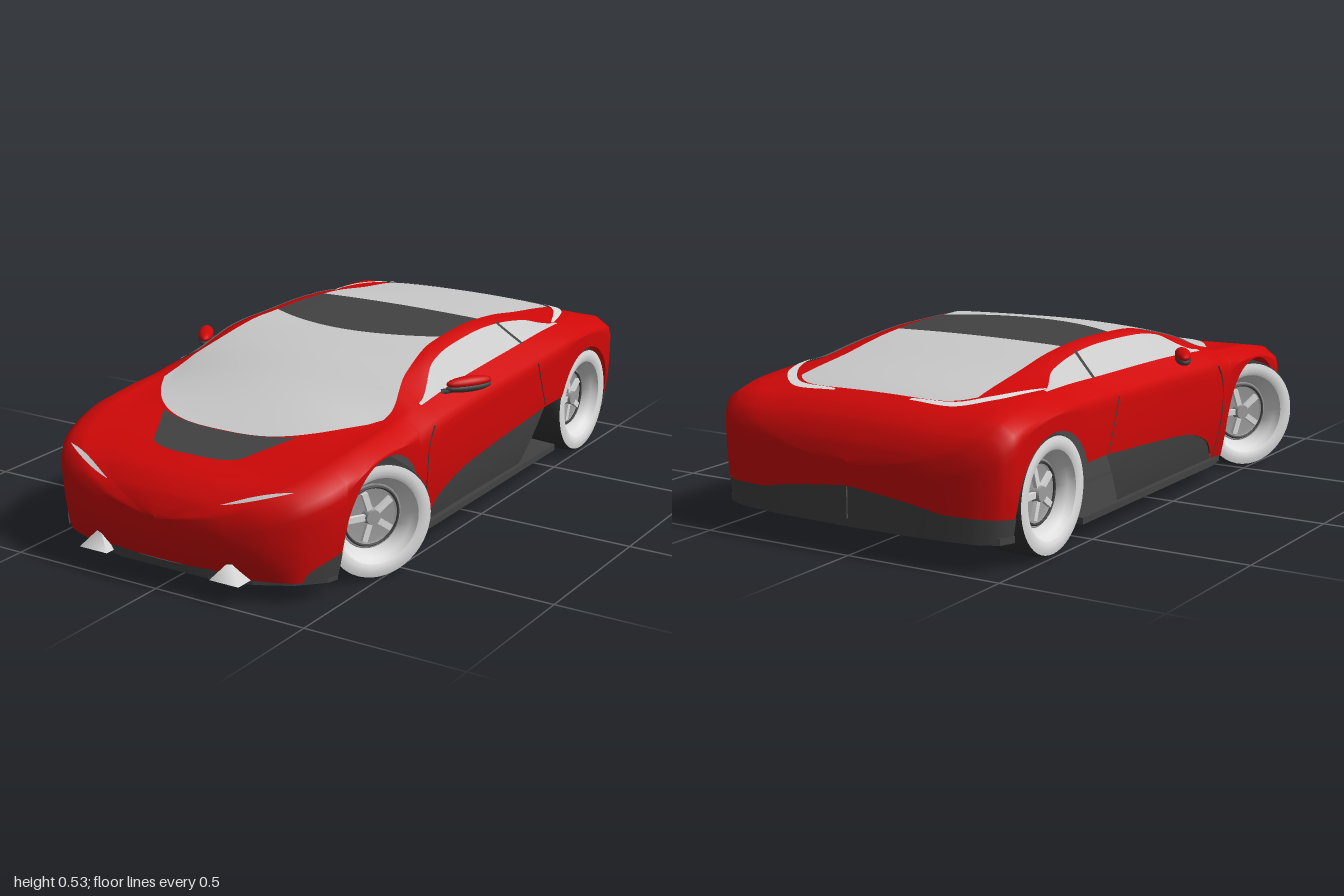
import * as THREE from 'three';

const mat = (name, color) => Object.assign(new THREE.MeshStandardMaterial({ color, side: THREE.DoubleSide }), { name });
const { lerp, smoothstep } = THREE.MathUtils;

// Smooth monotone curve through [z, value] points
function curve(p) {
  const d = p.slice(1).map((q, i) => (q[1] - p[i][1]) / (q[0] - p[i][0]));
  const m = p.map((_, i) => {
    const a = d[Math.max(0, i - 1)], b = d[Math.min(d.length - 1, i)];
    return a * b <= 0 ? 0 : 2 * a * b / (a + b);
  });
  return z => {
    z = Math.min(Math.max(z, p[0][0]), p[p.length - 1][0]);
    let i = 0;
    while (i < p.length - 2 && z > p[i + 1][0]) i++;
    const h = p[i + 1][0] - p[i][0], t = (z - p[i][0]) / h, t2 = t * t, t3 = t2 * t;
    return p[i][1] * (2 * t3 - 3 * t2 + 1) + m[i] * h * (t3 - 2 * t2 + t) + p[i + 1][1] * (3 * t2 - 2 * t3) + m[i + 1] * h * (t3 - t2);
  };
}

// Shape of the body along its length
const width = curve([[-1, 0], [-.99, .27], [-.97, .42], [-.94, .478], [-.9, .498], [-.6, .505], [0, .5], [.5, .5], [.7, .495], [.8, .475], [.88, .43], [.94, .35], [.98, .22], [1, 0]]);
const spine = curve([[-1, .27], [-.985, .33], [-.95, .39], [-.9, .425], [-.8, .455], [-.6, .485], [-.4, .513], [-.2, .526], [0, .523], [.2, .497], [.4, .445], [.55, .405], [.67, .375], [.82, .345], [.9, .325], [.96, .285], [.985, .25], [1, .22]]);
const belt = curve([[-1, .26], [-.985, .31], [-.95, .375], [-.9, .415], [-.8, .435], [-.63, .447], [-.3, .437], [0, .43], [.27, .42], [.4, .405], [.6, .392], [.7, .375], [.8, .352], [.88, .325], [.94, .29], [.98, .245], [1, .21]]);
const beltX = curve([[-1, .9], [-.8, .88], [-.6, .84], [0, .86], [.3, .88], [.5, .9], [1, .9]]);
const railX = curve([[-1, .08], [-.97, .28], [-.86, .31], [-.6, .3], [-.33, .295], [-.07, .305], [.2, .345], [.4, .4], [.5, .4], [.7, .36], [.85, .3], [.95, .2], [1, .03]]);
const railDrop = curve([[-1, .01], [-.6, .009], [-.35, .005], [0, .005], [.2, .016], [.4, .036], [.55, .015], [.7, -.005], [.85, .005], [.95, .015], [1, .008]]);
const pillarX = curve([[-1, .5], [-.75, .55], [-.64, .92], [-.5, .5], [-.3, .36], [-.1, .33], [.1, .4], [.28, .85], [.4, .6], [1, .5]]);
const pillarY = curve([[-1, .5], [-.75, .55], [-.64, .94], [-.5, .2], [-.3, .08], [.1, .1], [.28, .88], [.4, .6], [1, .5]]);
const insertTop = curve([[-.42, .235], [-.1, .21], [.1, .19], [.25, .14], [.31, .07]]);
const hem = curve([[-1, .2], [-.985, .155], [-.9, .15], [-.6, .065], [.96, .065], [.985, .075], [1, .085]]);
const FRONT = .57, REAR = -.71, AXLE = .176;

// Lower edge of the paintwork: wheel arches, side intake and insert
function lower(z) {
  const df = z - FRONT, dr = z - REAR;
  if (Math.abs(df) < .187) return AXLE + .183 * Math.sqrt(1 - (df / .187) ** 2);
  if (Math.abs(dr) < .182) return Math.max(AXLE + Math.sqrt(.0332 - dr * dr), dr > 0 ? .235 : 0);
  if (z > -.53 && z < -.42) return .235;
  if (z >= -.42 && z < .31) return insertTop(z);
  return hem(z);
}
const sideX = (z, y) => width(z) * (1 - .06 * (Math.max(0, .3 - y) / .24) ** 2);

// Half section from shoulder to rail: shoulder, belt, pillar, rail
function keys(z) {
  const w = width(z), y3 = belt(z), y2 = Math.max(lower(z) + .004, y3 - .03);
  const x5 = Math.min(railX(z), .75 * w), y5 = spine(z) - railDrop(z), x3 = beltX(z) * w;
  return [[.985 * w, y2], [x3, y3], [lerp(x5, x3, pillarX(z)), lerp(y5, y3, pillarY(z))], [x5, y5]];
}
function topY(x, z) {
  const k = keys(z), a = Math.abs(x);
  if (a <= k[3][0]) return lerp(spine(z), k[3][1], (a / (k[3][0] || 1)) ** 2);
  for (let i = 2; i >= 0; i--) if (a <= k[i][0]) return lerp(k[i + 1][1], k[i][1], (a - k[i + 1][0]) / (k[i][0] - k[i + 1][0]));
  return k[0][1];
}
// Point on the upper flank; t = 0 shoulder, 1 belt, 2 pillar, 3 rail
function flank(z, t, out = .003) {
  const k = keys(z), i = Math.min(2, Math.floor(t)), f = t - i;
  return [lerp(k[i][0], k[i + 1][0], f) + out, lerp(k[i][1], k[i + 1][1], f) + out, z];
}

// Grid surface from a rule (u, v) -> point
function sheet(nu, nv, fn) {
  const pos = [], idx = [];
  for (let i = 0; i <= nu; i++) for (let j = 0; j <= nv; j++) pos.push(...fn(i / nu, j / nv));
  for (let i = 0; i < nu; i++) for (let j = 0; j < nv; j++) {
    const a = i * (nv + 1) + j, b = a + nv + 1;
    idx.push(a, b, b + 1, a, b + 1, a + 1);
  }
  const g = new THREE.BufferGeometry();
  g.setAttribute('position', new THREE.Float32BufferAttribute(pos, 3));
  g.setIndex(idx);
  g.computeVertexNormals();
  return g;
}

export function createModel() {
  const car = new THREE.Group();
  const paint = mat('red paint', 0xd00808), glass = mat('pale glass', 0xcacaca), trim = mat('dark trim', 0x424242);
  const rubber = mat('tyre rubber', 0x333333), white = mat('wheel white', 0xdedede), metal = mat('rim metal', 0x9c9c9c);
  const add = (name, geo, m, parent = car) => {
    const mesh = new THREE.Mesh(geo, m);
    mesh.name = name;
    parent.add(mesh);
    return mesh;
  };
  const pair = (name, geo, m) => {
    add(name + 'Left', geo, m);
    add(name + 'Right', geo, m).scale.x = -1;
  };
  const spline = pts => new THREE.CatmullRomCurve3(pts.map(p => new THREE.Vector3(...p)));
  const line = (pts, r) => new THREE.TubeGeometry(spline(pts), 24, r, 5);

  // Painted shell, swept nose to tail, with the chin tucked back
  const half = z => {
    const k = keys(z), b = lower(z), pts = [];
    for (let i = 0; i < 8; i++) { const y = lerp(b, k[0][1], i / 8); pts.push([Math.max(sideX(z, y), k[0][0] * .94), y]); }
    pts.push(...k);
    for (let i = 1; i <= 10; i++) { const x = k[3][0] * (1 - i / 10); pts.push([x, topY(x, z)]); }
    return pts;
  };
  const N = half(0).length - 1;
  add('bodyShell', sheet(240, 2 * N, (u, v) => {
    const z = Math.sin((.5 - u) * Math.PI), j = Math.round(v * 2 * N), [x, y] = half(z)[j <= N ? j : 2 * N - j];
    const tuck = .03 * (Math.max(0, .2 - y) / .13) ** 2 * smoothstep(z, .86, .98);
    return [j <= N ? x : -x, y, z - tuck];
  }), paint);

  // Glass and roof panels laid on the shell: centre and edge z at both ends
  const panel = (name, m, c0, c1, e0, e1, p0, p1, edge) => add(name, sheet(28, 32, (s, v) => {
    const u = 2 * v - 1, zc = lerp(c0, c1, s), ze = lerp(e0, e1, s);
    const x = u * (edge ? edge(s) : railX(ze) * .99), z = lerp(zc, ze, Math.abs(u) ** lerp(p0, p1, s));
    return [x, topY(x, z) + .004, z];
  }), m);
  panel('windscreen', glass, .02, .67, -.07, .42, 2, 3);
  panel('roofPanel', trim, -.33, .02, -.33, -.07, 2, 2);
  panel('rearWindow', glass, -.86, -.33, -.8, -.33, 7, 2);
  panel('bonnetPanel', trim, .672, .82, .63, .79, 2.4, 4, s => lerp(.238, .155, s));

  // Side windows with divider, and headlamps
  pair('sideWindow', sheet(40, 4, (u, v) => flank(lerp(.28, -.635, u), lerp(1.04, 1.96, v))), glass);
  pair('windowDivider', sheet(2, 4, (u, v) => flank(lerp(-.34, -.355, u) - .03 * (1 - v), 1 + v, .006)), trim);
  pair('headlamp', sheet(20, 4, (u, v) => flank(lerp(.88, .955, u) + (v - .5) * .03 * Math.sin(Math.PI * u), 1 + 2 * u, .004)), glass);

  // Light strips wrapping the rear window
  const rim = pts => spline(pts.map(([x, z]) => [x, 0, z]));
  const outer = rim([[.13, -.878], [.28, -.87], [.365, -.79], [.402, -.7], [.42, -.62]]);
  const inner = rim([[.13, -.868], [.275, -.845], [.34, -.775], [.38, -.7], [.412, -.62]]);
  pair('rearLightStrip', sheet(30, 3, (u, v) => {
    const p = outer.getPoint(u).lerp(inner.getPoint(u), v);
    return [p.x, topY(p.x, p.z) + .006, p.z];
  }), white);

  // Dark lower side insert, front corners and rear bumper
  pair('sideInsert', sheet(40, 4, (u, v) => {
    const z = lerp(.31, -.42, u), y = lerp(z > -.3 ? .062 : lerp(.062, .235, (-.3 - z) / .12), insertTop(z), v);
    return [sideX(z, y) - .004, y, z];
  }), trim);
  pair('frontCorner', sheet(10, 3, (u, v) => {
    const z = lerp(.87, .762, u), y = lerp(.063, lerp(.08, .135, Math.sqrt(u)), v);
    return [sideX(z, y) + .004, y, z + .003];
  }), trim);
  pair('rearBumper', sheet(30, 4, (u, v) => {
    const z = -1 + .105 * (1 - u) ** 2, y = lerp(.085, hem(z) + .003, v);
    return [sideX(z, y) + .002, y, z];
  }), trim);

  // Floor pan with wheel cut-outs, rising to the tail
  const edge = [[.15, .955], [.28, .925], [.38, .87], [.45, .8], [.46, .765], [.29, .765], [.29, .38], [.47, .375], [.485, .3],
    [.485, -.53], [.31, -.55], [.31, -.88], [.485, -.895], [.465, -.94], [.4, -.97], [.25, -.988]];
  const outline = [...edge, ...edge.slice().reverse().map(([x, z]) => [-x, z])].map(p => new THREE.Vector2(...p));
  const floor = new THREE.ExtrudeGeometry(new THREE.Shape(outline), { depth: .02, bevelEnabled: false });
  floor.rotateX(Math.PI / 2).translate(0, .069, 0);
  const fp = floor.attributes.position;
  for (let i = 0; i < fp.count; i++) if (fp.getZ(i) < -.6) fp.setY(i, fp.getY(i) + .035);
  floor.computeVertexNormals();
  add('floorPan', floor, trim);

  // Chin lip and pale fins under the nose
  add('chinLip', sheet(24, 1, (u, v) => {
    const x = lerp(-.19, .19, u);
    return [x, lerp(.062, .083, v), .978 - .6 * x * x];
  }), trim);
  pair('noseFin', new THREE.ConeGeometry(.05, .058, 4).rotateY(Math.PI / 4).scale(1.4, 1, 1).translate(.23, .094, .956), white);

  // Door shut lines
  const seam = pts => line(pts.map(([z, y]) => [sideX(z, y), y, z]), .0025);
  pair('doorSeamFront', seam([[.315, .075], [.335, .2], [.33, .32], [.3, .375]]), trim);
  pair('doorSeamRear', seam([[-.355, .395], [-.375, .34], [-.415, .24]]), trim);

  // Door mirrors
  const pod = (y, ry) => new THREE.SphereGeometry(1, 20, 12).scale(.076, ry, .024).rotateY(1).translate(.487, y, .075);
  pair('mirrorCap', pod(.448, .018), paint);
  pair('mirrorBase', pod(.434, .016), trim);
  pair('mirrorStalk', line([[.43, .425, .15], [.455, .43, .125], [.48, .435, .09]], .009), trim);

  // Wheels: tread, pale walls, dished rim with spokes
  const lathe = pts => new THREE.LatheGeometry(pts.map(p => new THREE.Vector2(...p)), 48);
  const wheel = (name, x, z, turn) => {
    const hubGroup = new THREE.Group(), g = new THREE.Group();
    hubGroup.name = name;
    g.rotation.z = -Math.PI / 2;
    hubGroup.add(g);
    add('tread', lathe([[.168, -.07], [.173, -.06], [.175, -.04], [.175, .04], [.173, .06], [.168, .07]]), rubber, g);
    for (const s of [1, -1]) add('tyreWall', lathe([[.168, .07 * s], [.155, .073 * s], [.14, .073 * s], [.129, .068 * s]]), white, g);
    add('rimBarrel', lathe([[.129, .068], [.12, .045], [.098, .02], [.115, -.02], [.129, -.068]]), white, g);
    add('rimDisc', lathe([[.098, .018], [.088, .022], [.082, .008], [.001, .012]]), metal, g);
    add('rimRing', new THREE.TorusGeometry(.088, .004, 6, 40).rotateX(Math.PI / 2).translate(0, .022, 0), trim, g);
    for (let i = 0; i < 5; i++)
      add('spoke', new THREE.BoxGeometry(.018, .012, .07).translate(0, .022, .042).rotateY(i * Math.PI * .4), white, g);
    add('hub', new THREE.CylinderGeometry(.022, .026, .03, 20).translate(0, .022, 0), metal, g);
    hubGroup.position.set(x, AXLE, z);
    hubGroup.rotation.y = turn;
    car.add(hubGroup);
  };
  const steer = -.52;
  wheel('frontWheelLeft', .436, FRONT, steer);
  wheel('frontWheelRight', -.436, FRONT, Math.PI + steer);
  wheel('rearWheelLeft', .423, REAR, 0);
  wheel('rearWheelRight', -.423, REAR, Math.PI);
  return car;
}
